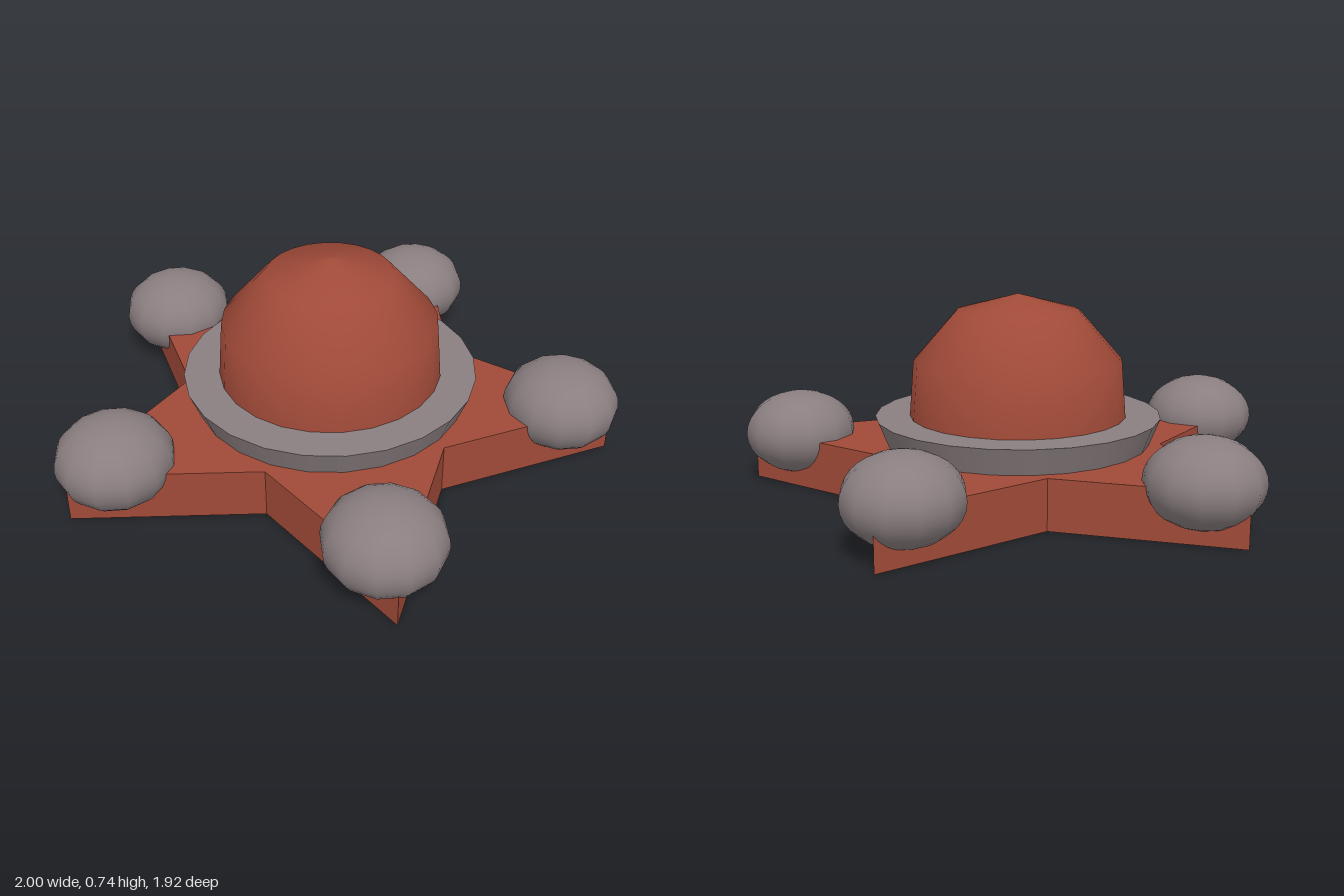
import * as THREE from 'three';

export function createModel() {
  const model = new THREE.Group();
  const rust = new THREE.MeshStandardMaterial({ color: 0xa04a38 });
  rust.name = 'rust red';
  const grey = new THREE.MeshStandardMaterial({ color: 0x8a7e80 });
  grey.name = 'warm grey';
  const centerZ = 0.08;

  function add(name, geometry, material, x, y, z) {
    const mesh = new THREE.Mesh(geometry, material);
    mesh.name = name;
    mesh.position.set(x, y, z);
    model.add(mesh);
    return mesh;
  }

  // Five-pointed base plate, one point to the back
  const corners = [];
  for (let i = 0; i < 10; i++) {
    const a = Math.PI / 2 + (i * Math.PI) / 5;
    const r = i % 2 ? 0.53 : 1.02;
    corners.push(new THREE.Vector2(r * Math.cos(a), r * Math.sin(a)));
  }
  const star = new THREE.ExtrudeGeometry(new THREE.Shape(corners), { depth: 0.185, bevelEnabled: false });
  star.rotateX(-Math.PI / 2);
  add('starBase', star, rust, 0, 0, centerZ);

  // Collar that widens upwards
  add('collar', new THREE.CylinderGeometry(0.53, 0.49, 0.1, 24), grey, 0, 0.235, centerZ);

  // Dome with a few coarse rings
  const profile = [[0.406, 0.25], [0.402, 0.285], [0.386, 0.49], [0.226, 0.674], [0, 0.735]]
    .map(([r, y]) => new THREE.Vector2(r, y));
  add('dome', new THREE.LatheGeometry(profile, 24), rust, 0, 0, centerZ);

  // Flattened balls on the points
  const ball = new THREE.SphereGeometry(0.206, 12, 16);
  ball.rotateY(Math.PI / 12);
  ball.scale(1, 0.155 / 0.206, 1);
  for (let i = 0; i < 5; i++) {
    const a = (i * 2 * Math.PI) / 5;
    add('pointBall' + (i + 1), ball, grey, 0.84 * Math.sin(a), 0.19, centerZ - 0.84 * Math.cos(a));
  }
  return model;
}
